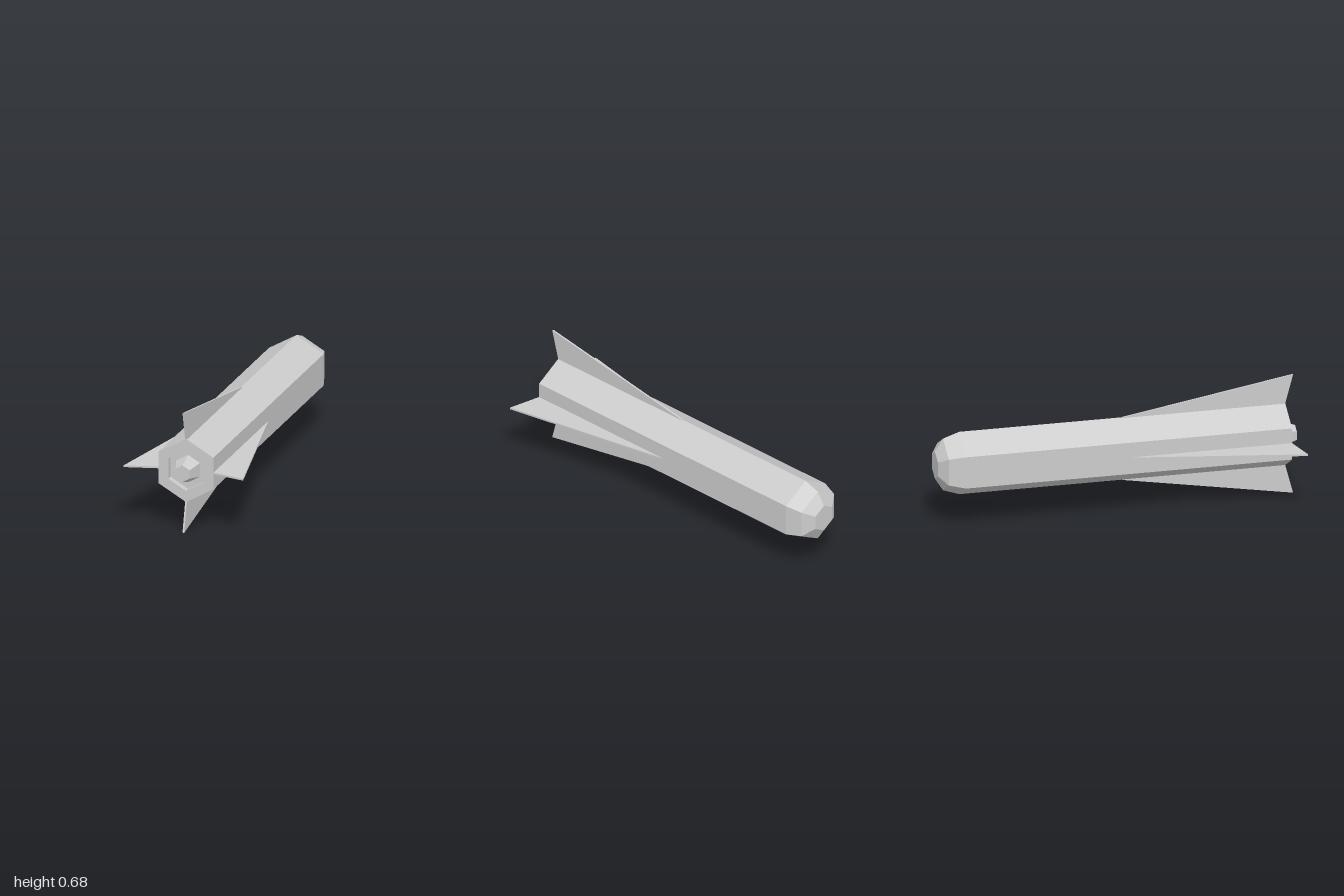
import * as THREE from 'three';

const AXIS_Y = 0.345;

export function createModel() {
  const group = new THREE.Group();
  const mat = new THREE.MeshStandardMaterial({ color: 0xcccccc, flatShading: true });

  // Six-sided solid of revolution along z, from [radius, z] pairs
  function hexLathe(name, profile) {
    const pts = profile.map(([r, z]) => new THREE.Vector2(r, z));
    const mesh = new THREE.Mesh(new THREE.LatheGeometry(pts, 6).rotateX(Math.PI / 2), mat);
    mesh.name = name;
    mesh.position.y = AXIS_Y;
    group.add(mesh);
  }

  // Body: blunt faceted nose, straight tube, shallow recess at the tail
  hexLathe('body', [
    [0, -1], [0.078, -1], [0.149, -0.955], [0.18, -0.865],
    [0.18, 0.945], [0.116, 0.945], [0.116, 0.91], [0, 0.91],
  ]);

  // Tapered nozzle standing in the recess
  hexLathe('nozzle', [[0.078, 0.91], [0.047, 1], [0, 1]]);

  // Swept triangular fins, one per quarter turn
  const thickness = 0.01;
  const names = ['leftFin', 'topFin', 'rightFin', 'bottomFin'];
  names.forEach((name, i) => {
    const root = i % 2 ? 0.18 : 0.156; // body corner or body flat
    const shape = new THREE.Shape([
      new THREE.Vector2(root - 0.01, 0.04),
      new THREE.Vector2(root, 0.04),
      new THREE.Vector2(0.341, 0.988),
      new THREE.Vector2(root, 0.945),
      new THREE.Vector2(root - 0.01, 0.943),
    ]);
    const geo = new THREE.ExtrudeGeometry(shape, { depth: thickness, bevelEnabled: false });
    geo.translate(0, 0, -thickness / 2).rotateX(Math.PI / 2);
    const fin = new THREE.Mesh(geo, mat);
    fin.name = name;
    fin.position.y = AXIS_Y;
    fin.rotation.z = i * Math.PI / 2;
    group.add(fin);
  });

  return group;
}
